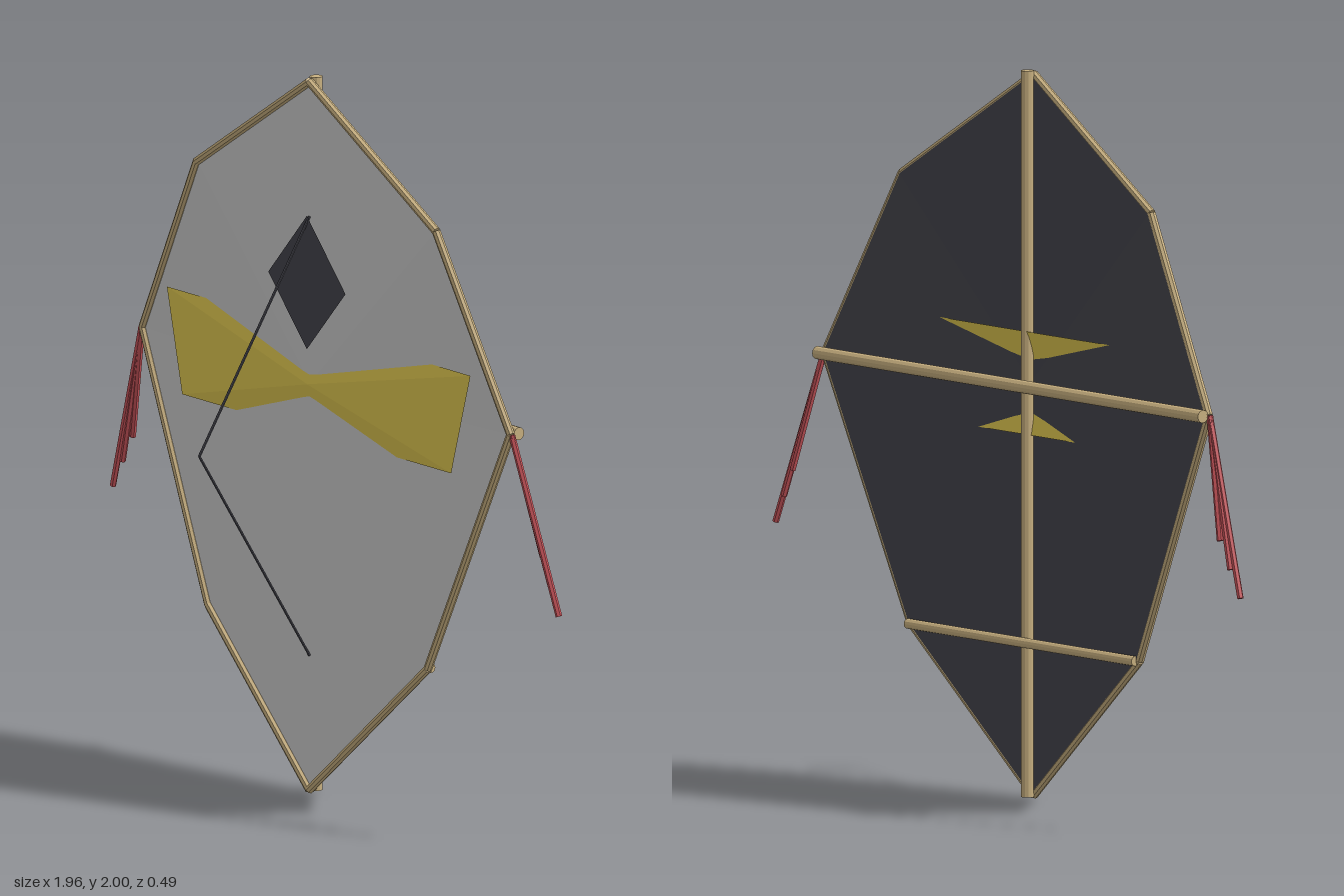
import * as THREE from 'three';

const V = (x, y, z) => new THREE.Vector3(x, y, z);
const mat = (color, extra = {}) =>
  new THREE.MeshStandardMaterial({ color, flatShading: true, ...extra });

// Straight rod between two points
function rod(name, a, b, r, material, sides = 8, r2 = r) {
  const geo = new THREE.CylinderGeometry(r2, r, a.distanceTo(b), sides);
  const mesh = new THREE.Mesh(geo, material);
  mesh.name = name;
  mesh.position.copy(a).lerp(b, 0.5);
  mesh.quaternion.setFromUnitVectors(V(0, 1, 0), b.clone().sub(a).normalize());
  return mesh;
}

// Triangle fan around a hub
function fan(name, hub, rim, material) {
  const pos = [];
  for (let i = 0; i < rim.length; i++) {
    for (const p of [hub, rim[i], rim[(i + 1) % rim.length]]) pos.push(p.x, p.y, p.z);
  }
  const geo = new THREE.BufferGeometry();
  geo.setAttribute('position', new THREE.Float32BufferAttribute(pos, 3));
  geo.computeVertexNormals();
  const mesh = new THREE.Mesh(geo, material);
  mesh.name = name;
  return mesh;
}

export function createModel() {
  const kite = new THREE.Group();
  kite.name = 'kite';
  const wood = mat(0xc8b080);
  const dark = mat(0x44444c);
  const red = mat(0xc8545a);

  // Outline, counter-clockwise from the tip, bowed backwards at the sides
  const left = [V(0.52, 1.665, -0.165), V(0.8, 1.145, -0.2), V(0.477, 0.435, -0.17)];
  const mirror = (p) => V(-p.x, p.y, p.z);
  const right = left.map(mirror);
  const outline = [V(0, 1.988, -0.14), ...right, V(0, 0.013, -0.14), ...left.slice().reverse()];
  const hub = V(0, 1.145, -0.14);

  // Sail: pale front cloth and dark lining
  kite.add(fan('sailFront', hub, outline, mat(0xcccccc)));
  const lining = fan('sailBack', hub, outline, mat(0x44444c, { side: THREE.BackSide }));
  lining.position.z = -0.011;
  kite.add(lining);

  // Edge frame
  outline.forEach((p, i) => {
    kite.add(rod('edgeFrame', p, outline[(i + 1) % outline.length], 0.012, wood));
  });

  // Spine and cross spars
  kite.add(rod('spine', V(0, 0.01, -0.163), V(0, 2, -0.163), 0.018, wood, 12));
  kite.add(rod('crossSpar', V(-0.805, 1.145, -0.225), V(0.805, 1.145, -0.225), 0.018, wood, 12));
  kite.add(rod('lowerSpar', V(-0.475, 0.435, -0.184), V(0.475, 0.435, -0.184), 0.014, wood, 12));

  // Pinched cloth bow, its middle tucked through the sail
  const a = V(0.66, 1.287, -0.172);
  const b = V(0.585, 1.002, -0.165);
  const bowRim = [V(0, 1.287, -0.176), mirror(a), mirror(b), V(0, 1.002, -0.165), b, a];
  kite.add(fan('bow', V(0, 1.145, -0.132), bowRim, mat(0xe0c850, { side: THREE.DoubleSide })));

  // Diamond patch
  const diamond = new THREE.Shape([
    new THREE.Vector2(0, 1.615), new THREE.Vector2(-0.168, 1.428),
    new THREE.Vector2(0, 1.243), new THREE.Vector2(0.168, 1.428),
  ]);
  const patch = new THREE.Mesh(new THREE.ShapeGeometry(diamond), dark);
  patch.name = 'diamondPatch';
  patch.position.z = -0.131;
  kite.add(patch);

  // Bridle line
  const tow = V(0, 1, 0.242);
  kite.add(rod('bridleUpper', V(0, 1.612, -0.14), tow, 0.004, dark, 6));
  kite.add(rod('bridleLower', V(0, 0.388, -0.14), tow, 0.004, dark, 6));

  // Side tassels
  const ends = [V(0.97, 0.665, -0.232), V(0.932, 0.74, -0.235), V(0.892, 0.815, -0.238)];
  for (const side of [1, -1]) {
    const tassel = new THREE.Group();
    tassel.name = side > 0 ? 'leftTassel' : 'rightTassel';
    for (const e of ends) {
      tassel.add(rod('strand', V(side * 0.805, 1.145, -0.2), V(side * e.x, e.y, e.z), 0.009, red, 6));
    }
    kite.add(tassel);
  }
  return kite;
}
